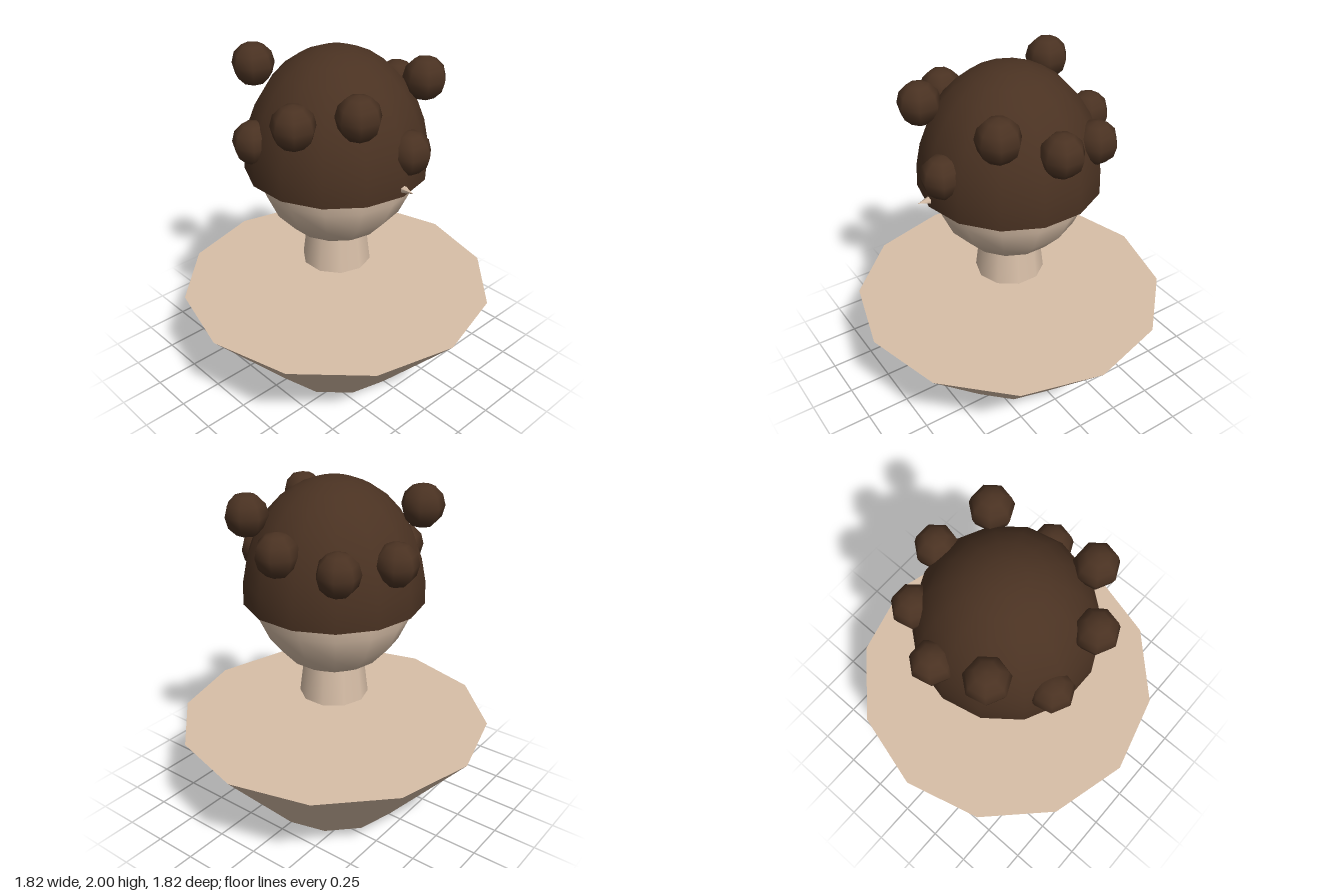
import * as THREE from 'three';

export function createModel() {
  const model = new THREE.Group();
  const skin = new THREE.MeshStandardMaterial({ color: 0xd8bfa8 });
  skin.name = 'skin';
  const brown = new THREE.MeshStandardMaterial({ color: 0x4a3222, side: THREE.DoubleSide });
  brown.name = 'hairBrown';

  const add = (name, geometry, material, x, y, z) => {
    const mesh = new THREE.Mesh(geometry, material);
    mesh.name = name;
    mesh.position.set(x, y, z);
    model.add(mesh);
    return mesh;
  };

  // Tapered shoulders and the neck floating above them
  add('shoulders', new THREE.CylinderGeometry(0.91, 0.42, 0.555, 12), skin, 0, 0.2775, 0);
  add('neck', new THREE.CylinderGeometry(0.165, 0.2, 0.28, 10), skin, 0, 0.86, 0);

  // Head, slightly taller than wide, with a small pointed nose
  const head = new THREE.SphereGeometry(0.457, 14, 10).rotateY(Math.PI / 2).scale(1, 1.11, 1);
  add('head', head, skin, 0, 1.39, 0);
  const nose = new THREE.ConeGeometry(0.045, 0.14, 6).rotateX(Math.PI / 2);
  add('nose', nose, skin, 0, 1.36, 0.503);

  // Open hair cap reaching just past its widest ring
  const cap = new THREE.SphereGeometry(0.512, 14, 8, 0, Math.PI * 2, 0, Math.PI * 0.52)
    .rotateY(Math.PI / 2).scale(1, 1.25, 1);
  add('hairCap', cap, brown, 0, 1.36, 0);

  // Nine curls evenly spaced around the cap at varied heights
  const curl = new THREE.SphereGeometry(0.12, 7, 6);
  [1.695, 1.82, 1.53, 1.797, 1.732, 1.542, 1.86, 1.635, 1.625].forEach((y, i) => {
    const a = (i / 9) * Math.PI * 2;
    add('curl' + (i + 1), curl, brown, Math.cos(a) * 0.47, y, Math.sin(a) * 0.47);
  });

  return model;
}
